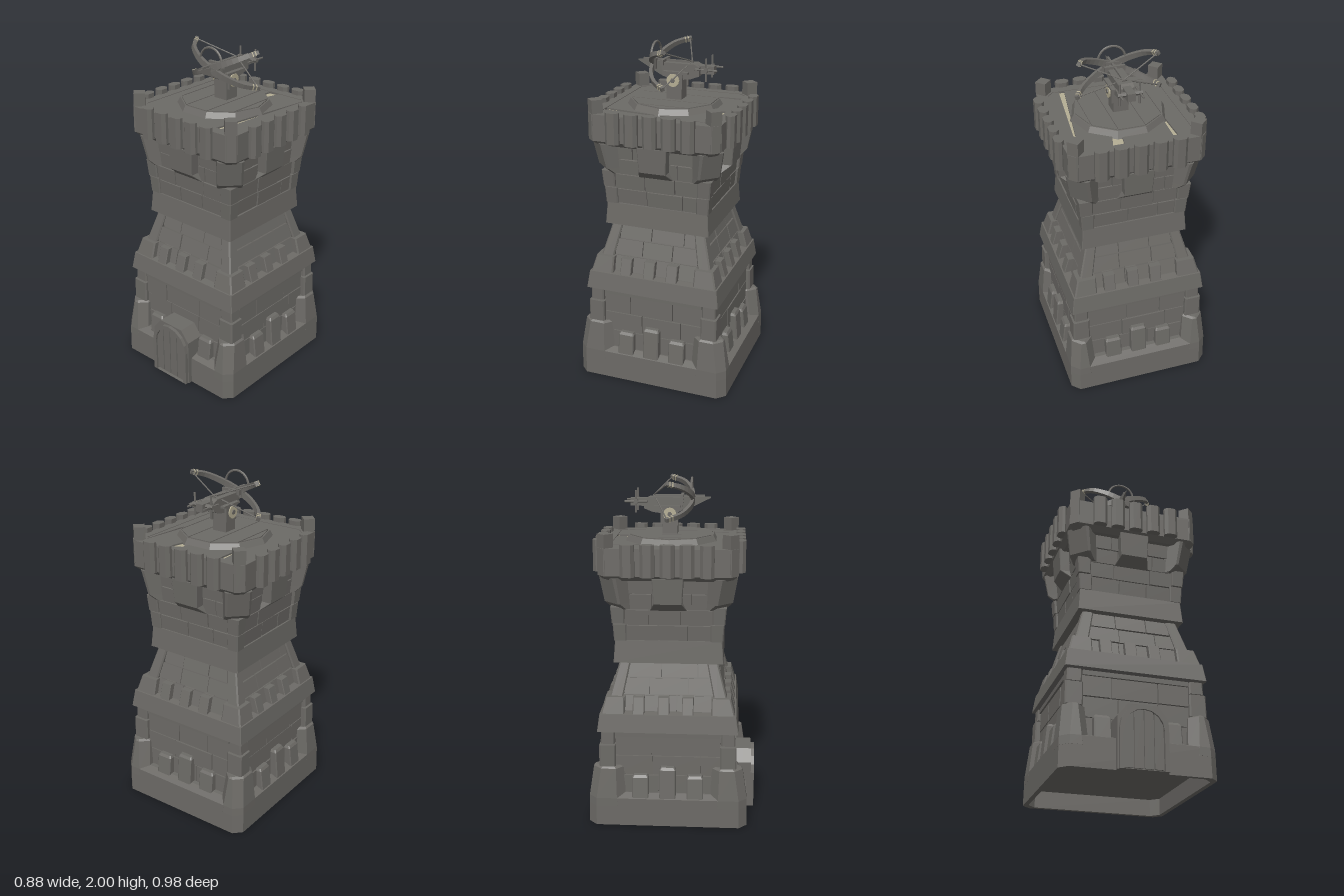
import * as THREE from 'three';

const stone = new THREE.MeshStandardMaterial({ color: 0x6c6a66 });
stone.name = 'stone grey';
const pale = new THREE.MeshStandardMaterial({ color: 0xb5ae94 });
pale.name = 'pale rope';
stone.flatShading = pale.flatShading = true;

const DEPTH_SHIFT = -0.022;

// Small seeded generator for brick variation
function seeded(seed) {
  return () => (seed = (seed * 16807) % 2147483647) / 2147483647;
}

// Closed solid through rings of [x, y, z] points, capped at both ends
function loft(rings) {
  const pos = [];
  const n = rings[0].length;
  const tri = (a, b, c) => pos.push(...a, ...b, ...c);
  for (let i = 0; i + 1 < rings.length; i++) {
    for (let k = 0; k < n; k++) {
      const m = (k + 1) % n, a = rings[i], b = rings[i + 1];
      tri(a[k], b[k], a[m]);
      tri(a[m], b[k], b[m]);
    }
  }
  const first = rings[0], last = rings[rings.length - 1];
  for (let k = 1; k + 1 < n; k++) {
    tri(first[0], first[k], first[k + 1]);
    tri(last[0], last[k + 1], last[k]);
  }
  const g = new THREE.BufferGeometry();
  g.setAttribute('position', new THREE.Float32BufferAttribute(pos, 3));
  g.computeVertexNormals();
  return g;
}

// Rectangle ring with chamfered corners
function ring(y, x0, x1, z0, z1, c) {
  return [[x1, z0 + c], [x1, z1 - c], [x1 - c, z1], [x0 + c, z1],
    [x0, z1 - c], [x0, z0 + c], [x0 + c, z0], [x1 - c, z0]].map(([x, z]) => [x, y, z]);
}
// Centred stack from [y, halfX, halfZ] sections
const stack = (sections, c = 0.004) =>
  loft(sections.map(([y, hx, hz = hx]) => ring(y, -hx, hx, -hz, hz, c)));
// Flat board from four [x, z] corners
const slab = (y0, y1, corners) => loft([y0, y1].map(y => corners.map(([x, z]) => [x, y, z])));

function add(parent, name, geometry, material = stone) {
  const mesh = new THREE.Mesh(geometry, material);
  mesh.name = name;
  parent.add(mesh);
  return mesh;
}
function box(parent, name, w, h, d, x, y, z, material = stone) {
  const m = add(parent, name, new THREE.BoxGeometry(w, h, d), material);
  m.position.set(x, y, z);
  return m;
}
function group(parent, name) {
  const g = new THREE.Group();
  g.name = name;
  parent.add(g);
  return g;
}

// Courses of thin bricks on one sloping wall face
function bricks(parent, y0, y1, face0, face1, half0, half1, rows, rand) {
  const tilt = Math.atan2(face1 - face0, y1 - y0);
  const h = (y1 - y0) / rows;
  for (let r = 0; r < rows; r++) {
    const t = (r + 0.5) / rows;
    const half = half0 + (half1 - half0) * t;
    const first = -half + half * (0.45 + 0.4 * rand());
    const cuts = [-half, first, first + half * (0.65 + 0.25 * rand()), half];
    for (let i = 0; i < 3; i++) {
      const w = cuts[i + 1] - cuts[i] - 0.005;
      const b = box(parent, 'brick', w, h - 0.005, 0.03, (cuts[i] + cuts[i + 1]) / 2,
        y0 + h * (r + 0.5), face0 + (face1 - face0) * t - 0.012 + 0.006 * rand());
      b.rotation.x = tilt;
    }
  }
}

function buildTower(root) {
  const tower = group(root, 'tower');
  tower.position.z = DEPTH_SHIFT;

  // Hollow-bottomed skirt, wall cores and bands
  add(tower, 'baseSkirt', stack([[0.1, 0.41, 0.44], [0, 0.41, 0.44], [0, 0.438, 0.467],
    [0.17, 0.436, 0.464], [0.19, 0.39, 0.41]], 0.047));
  add(tower, 'lowerWall', stack([[0.15, 0.365], [0.58, 0.355]]));
  add(tower, 'lowerBand', stack([[0.565, 0.38], [0.575, 0.41], [0.68, 0.395], [0.685, 0.35]]));
  add(tower, 'middleWall', stack([[0.67, 0.335], [0.98, 0.255]]));
  add(tower, 'middleBand', stack([[0.97, 0.317], [1.1, 0.307]]));
  add(tower, 'upperWall', stack([[1.09, 0.285], [1.48, 0.315]]));
  add(tower, 'parapetWall', stack([[1.46, 0.36], [1.49, 0.39], [1.643, 0.39],
    [1.643, 0.333], [1.62, 0.333]], 0.037));

  // Corner stones; each row: y, inner x, outer x, inner z, outer z
  const cornerRows = [
    ['baseCorner', 0.047, [0.12, 0.275, 0.437, 0.245, 0.466], [0.17, 0.28, 0.436, 0.25, 0.464], [0.35, 0.295, 0.418, 0.255, 0.437], [0.36, 0.305, 0.407, 0.265, 0.427]],
    ['quoin', 0.008, [0.36, 0.305, 0.406, 0.305, 0.402], [0.49, 0.305, 0.404, 0.305, 0.4]],
    ['quoin', 0.008, [0.497, 0.31, 0.395, 0.31, 0.392], [0.57, 0.31, 0.392, 0.31, 0.39]],
    ['bandCorner', 0.008, [0.67, 0.25, 0.39, 0.25, 0.39], [0.775, 0.25, 0.362, 0.25, 0.362]],
    ['slopingPost', 0.008, [0.68, 0.28, 0.364, 0.28, 0.364], [0.97, 0.22, 0.284, 0.22, 0.284]],
    ['upperQuoin', 0.006, [1.1, 0.24, 0.312, 0.24, 0.312], [1.197, 0.24, 0.318, 0.24, 0.318]],
    ['upperQuoin', 0.006, [1.203, 0.25, 0.322, 0.25, 0.322], [1.3, 0.25, 0.33, 0.25, 0.33]],
    ['diagonalCorbel', 0.085, [1.29, 0.15, 0.335, 0.15, 0.335], [1.325, 0.18, 0.365, 0.18, 0.365], [1.475, 0.2, 0.39, 0.2, 0.39]],
  ];
  for (const sx of [-1, 1]) for (const sz of [-1, 1]) {
    for (const [name, c, ...rows] of cornerRows) {
      add(tower, name, loft(rows.map(([y, a, b, d, e]) => ring(y, Math.min(sx * a, sx * b),
        Math.max(sx * a, sx * b), Math.min(sz * d, sz * e), Math.max(sz * d, sz * e), c))));
    }
    // Diamond corner posts of the parapet
    const post = add(tower, 'cornerPost', new THREE.CylinderGeometry(0.046, 0.046, 0.23, 4));
    post.position.set(sx * 0.345, 1.605, sz * 0.347);
  }

  // Four sides: bricks, raised blocks, corbel and merlons
  const rand = seeded(71);
  for (let s = 0; s < 4; s++) {
    const side = group(tower, ['frontSide', 'leftSide', 'backSide', 'rightSide'][s]);
    side.rotation.y = s * Math.PI / 2;
    bricks(side, 0.18, 0.54, 0.376, 0.369, 0.31, 0.31, 3, rand);
    bricks(side, 0.68, 0.97, 0.345, 0.265, 0.29, 0.225, 3, rand);
    bricks(side, 1.1, 1.47, 0.294, 0.323, 0.245, 0.262, 4, rand);
    box(side, 'lintel', 0.61, 0.035, 0.04, 0, 0.557, 0.365);

    const baseBlocks = s === 0 ? [[-0.2, 0.31], [0.2, 0.31]] : [[-0.16, 0.31], [0, 0.36], [0.16, 0.31]];
    for (const [x, top] of baseBlocks) {
      add(side, 'baseBlock', loft([ring(0.15, x - 0.048, x + 0.048, 0.33, 0.432, 0.006),
        ring(top - 0.015, x - 0.048, x + 0.048, 0.33, 0.415, 0.006),
        ring(top, x - 0.04, x + 0.04, 0.34, 0.405, 0.006)]));
    }
    for (const x of [-0.17, -0.025, 0.115]) {
      add(side, 'bandBlock', loft([ring(0.67, x - 0.033, x + 0.033, 0.28, 0.39, 0.004),
        ring(0.775, x - 0.033, x + 0.033, 0.28, 0.36, 0.004)]));
    }
    add(side, 'wallCorbel', loft([[1.28, 0.105, 0.315], [1.33, 0.08, 0.375], [1.475, 0.088, 0.385]]
      .map(([y, w, out]) => ring(y, -w, w, 0.27, out, 0.004))));
    for (let i = -2; i <= 2; i++) {
      add(side, 'merlon', loft([1.49, 1.67].map(y =>
        ring(y, i * 0.11 - 0.04, i * 0.11 + 0.04, 0.378, 0.432, 0.018))));
    }
  }

  // Uneven deck boards over pale underlay: left and right x at back, then at front
  box(tower, 'deckUnderlay', 0.664, 0.006, 0.664, 0, 1.628, 0, pale);
  const boards = [[-0.333, -0.235, -0.333, -0.213], [-0.208, -0.17, -0.225, -0.119], [-0.17, 0.07, -0.119, -0.019],
    [0.135, 0.2, -0.045, 0.11], [0.2, 0.32, 0.11, 0.225], [0.325, 0.333, 0.258, 0.333]];
  for (const [a, b, c, d] of boards) {
    add(tower, 'deckBoard', slab(1.629, 1.64, [[b, -0.333], [d, 0.333], [c, 0.333], [a, -0.333]]));
  }

  // Ten-sided turning platform with raised boards
  const platform = add(tower, 'platform', new THREE.CylinderGeometry(0.258, 0.28, 0.04, 10));
  platform.rotation.y = Math.PI / 2;
  platform.position.y = 1.652;
  const platformBoards = [[0.247, 0.006, 0.206, 0.135], [0.198, 0.15, 0.081, 0.235],
    [0.074, 0.238, -0.074, 0.238], [-0.081, 0.235, -0.198, 0.15], [-0.206, 0.135, -0.247, 0.006]];
  for (const [x1, z1, x0, z0] of platformBoards) {
    add(tower, 'platformBoard', slab(1.67, 1.677, [[x1, -z1], [x1, z1], [x0, z0], [x0, -z0]]));
  }
}

function buildDoor(root) {
  const door = group(root, 'door');
  const extrude = (name, shape, z0, z1) => {
    const m = add(door, name, new THREE.ExtrudeGeometry(shape, { depth: z1 - z0, bevelEnabled: false }));
    m.position.z = z0;
  };
  const poly = pts => new THREE.Shape(pts.map(p => new THREE.Vector2(...p)));
  const arch = (w, top) => {
    const pts = [[-w, 0], [w, 0]];
    for (let i = 0; i <= 8; i++) {
      const a = Math.PI * i / 8;
      pts.push([w * Math.cos(a), 0.22 + (top - 0.22) * Math.sin(a)]);
    }
    return poly(pts);
  };
  const surround = low => poly([[-0.142, low], [0.142, low], [0.142, 0.29], [0.085, 0.36], [-0.085, 0.36], [-0.142, 0.29]]);
  extrude('doorSurround', surround(0), 0.42, 0.47);
  extrude('doorLintel', surround(0.1), 0.3, 0.42);
  const frame = arch(0.136, 0.355);
  frame.holes.push(arch(0.112, 0.33));
  extrude('doorFrame', frame, 0.465, 0.49);
  const height = x => 0.22 + 0.11 * Math.sqrt(Math.max(0, 1 - (x / 0.112) ** 2));
  for (let i = 0; i < 4; i++) {
    const a = -0.11 + i * 0.056, b = a + 0.05, m = (a + b) / 2;
    extrude('doorPlank', poly([[a, 0.01], [b, 0.01], [b, height(b)], [m, height(m)], [a, height(a)]]), 0.46, 0.48);
  }
}

function buildBallista(root) {
  const b = group(root, 'ballista');
  const V = (x, y, z) => new THREE.Vector3(x, y, z);
  const rod = (name, p, q, r, mat = stone, sides = 6) => {
    const m = add(b, name, new THREE.CylinderGeometry(r, r, p.distanceTo(q), sides), mat);
    m.position.copy(p).lerp(q, 0.5);
    m.quaternion.setFromUnitVectors(V(0, 1, 0), q.clone().sub(p).normalize());
  };
  // Flat tapering bar along part of a curve
  const limb = (name, curve, t0, t1, steps, extra, mat) => {
    const rings = [];
    for (let i = 0; i <= steps; i++) {
      const t = t0 + (t1 - t0) * i / steps;
      const p = curve.getPoint(t), dir = curve.getTangent(t);
      const n = V(-dir.y, dir.x, 0).normalize();
      const wide = n.clone().multiplyScalar(0.02 - 0.009 * t + extra);
      const deep = n.clone().cross(dir).multiplyScalar(0.01 + extra);
      rings.push([[1, 1], [-1, 1], [-1, -1], [1, -1]].map(([u, v]) =>
        p.clone().addScaledVector(wide, u).addScaledVector(deep, v).toArray()));
    }
    add(b, name, loft(rings), mat);
  };
  box(b, 'post', 0.09, 0.14, 0.09, 0, 1.735, -0.03);
  // Stock side outline given as [z, y]
  const outline = [[0.05, 1.885], [0.04, 1.81], [-0.02, 1.785], [-0.13, 1.8], [-0.18, 1.82], [-0.18, 1.87], [-0.15, 1.885]];
  const stock = add(b, 'stock', new THREE.ExtrudeGeometry(
    new THREE.Shape(outline.map(([z, y]) => new THREE.Vector2(-z, y))), { depth: 0.084, bevelEnabled: false }));
  stock.rotation.y = Math.PI / 2;
  stock.position.x = -0.042;
  box(b, 'stockTail', 0.046, 0.045, 0.1, 0, 1.855, -0.21);
  add(b, 'pointedNose', loft([[0.026, 1.885, 1.8, 0.04], [0.001, 1.885, 1.878, 0.205]].map(([w, top, low, z]) =>
    [[-w, top, z], [-w, low, z], [w, low, z], [w, top, z]].reverse())));
  box(b, 'boltGroove', 0.012, 0.014, 0.3, 0, 1.89, 0.02);
  box(b, 'crossPiece', 0.12, 0.03, 0.018, 0, 1.885, 0.04);
  box(b, 'bowMount', 0.08, 0.06, 0.022, 0, 1.87, 0.095);
  box(b, 'yokePlate', 0.136, 0.012, 0.15, 0, 1.835, -0.045);

  for (const s of [-1, 1]) {
    // Yoke cheek and pivot disc
    box(b, 'yokeCheek', 0.016, 0.09, 0.09, s * 0.05, 1.785, -0.04);
    rod('pivotDisc', V(s * 0.056, 1.79, -0.03), V(s * 0.065, 1.79, -0.03), 0.038, pale, 12);
    rod('pivotCap', V(s * 0.06, 1.79, -0.03), V(s * 0.07, 1.79, -0.03), 0.014);
    // Winch spokes
    rod('winchSpoke', V(s * 0.056, 1.798, -0.225), V(s * 0.056, 1.927, -0.225), 0.006);
    rod('winchSpoke', V(s * 0.056, 1.862, -0.29), V(s * 0.056, 1.862, -0.16), 0.006);
    // Crossed bow limbs with bindings and strings
    for (const [tipY, tipX] of [[1.98, 0.228], [1.78, 0.243]]) {
      const dy = tipY - 1.875;
      const curve = new THREE.CatmullRomCurve3([V(0, 1.875, 0.105), V(s * 0.09, 1.875 + dy * 0.38, 0.09),
        V(s * 0.18, 1.875 + dy * 0.77, 0.04), V(s * tipX, tipY, -0.04)]);
      limb('bowLimb', curve, 0, 1, 10, 0);
      limb('limbBinding', curve, 0.86, 0.88, 1, 0.002, pale);
      limb('limbBinding', curve, 0.92, 0.94, 1, 0.002, pale);
      rod('bowString', curve.getPoint(0.97), V(0, 1.895, -0.125), 0.004);
    }
  }
  rod('winchAxle', V(-0.07, 1.862, -0.225), V(0.07, 1.862, -0.225), 0.014);

  // Aiming hoop over the bow
  const hoop = add(b, 'aimingHoop', new THREE.TorusGeometry(0.08, 0.007, 6, 16, Math.PI));
  hoop.position.set(0, 1.913, 0.095);
  for (const s of [-1, 1]) rod('hoopLeg', V(s * 0.08, 1.915, 0.095), V(s * 0.045, 1.87, 0.095), 0.007);
}

export function createModel() {
  const root = new THREE.Group();
  root.name = 'watchtower';
  buildTower(root);
  buildDoor(root);
  buildBallista(root);
  return root;
}
